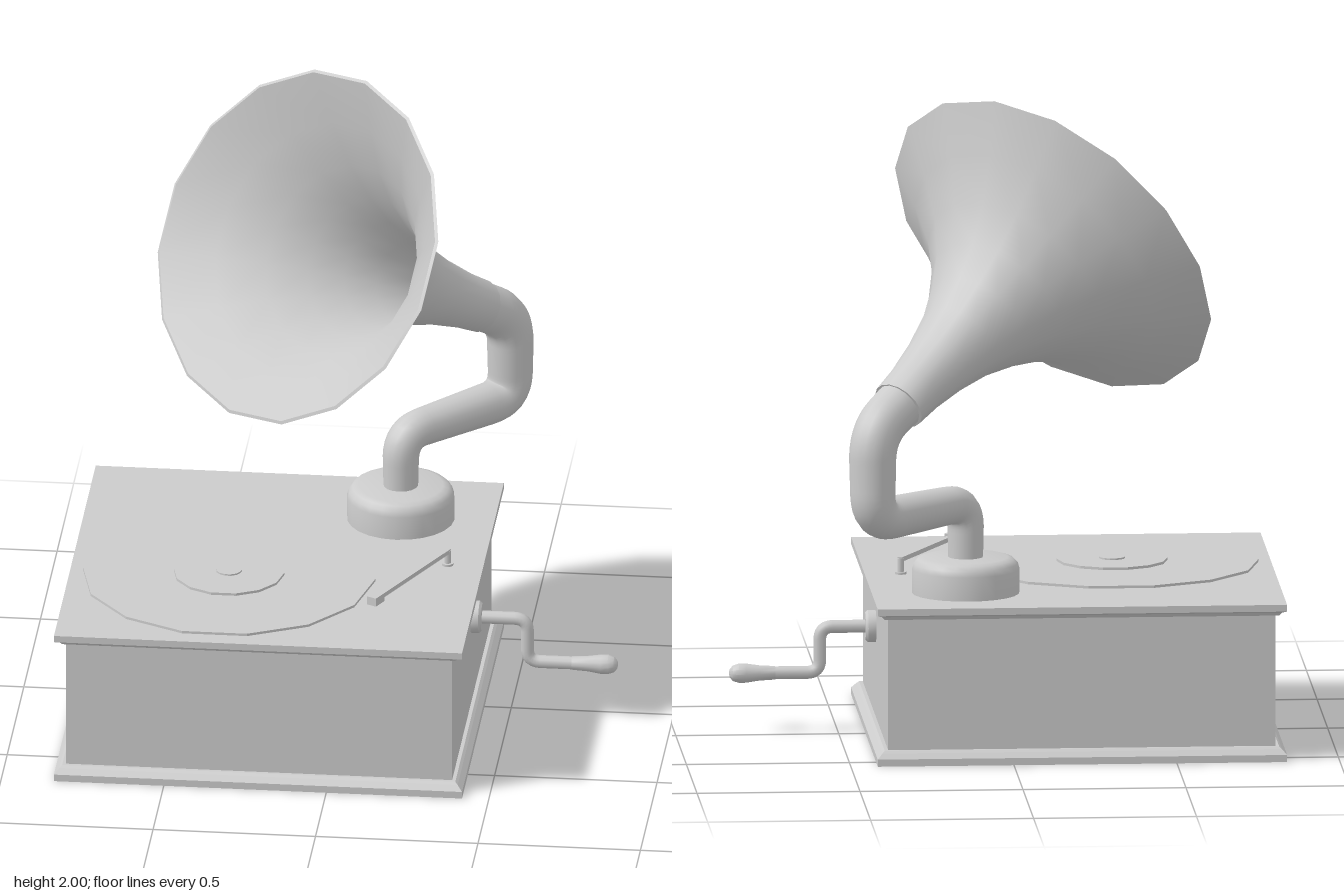
import * as THREE from 'three';
import { toCreasedNormals } from 'three/addons/utils/BufferGeometryUtils.js';

const V = (x, y, z) => new THREE.Vector3(x, y, z);
const smooth = new THREE.MeshStandardMaterial({ color: 0xcccccc, side: THREE.DoubleSide });
const flat = new THREE.MeshStandardMaterial({ color: 0xcccccc, flatShading: true });

function add(parent, name, geometry, material = smooth, x = 0, y = 0, z = 0) {
  const mesh = new THREE.Mesh(geometry, material);
  mesh.name = name;
  mesh.position.set(x, y, z);
  parent.add(mesh);
  return mesh;
}

// Lathe from [radius, height] pairs, with sharp edges kept
function turned(profile, sides, crease = 0.6) {
  const points = profile.map(([r, y]) => new THREE.Vector2(r, y));
  return toCreasedNormals(new THREE.LatheGeometry(points, sides), crease);
}

// Straight runs joined by rounded corners
function bentPath(points, bend) {
  const path = new THREE.CurvePath();
  let from = points[0];
  for (let i = 1; i < points.length - 1; i++) {
    const p = points[i];
    const a = p.clone().add(points[i - 1].clone().sub(p).setLength(bend));
    const b = p.clone().add(points[i + 1].clone().sub(p).setLength(bend));
    path.add(new THREE.LineCurve3(from, a));
    path.add(new THREE.QuadraticBezierCurve3(a, p, b));
    from = b;
  }
  path.add(new THREE.LineCurve3(from, points[points.length - 1]));
  return path;
}

// Tube whose radius changes evenly from r0 to r1
function taperedTube(path, steps, r0, r1, sides) {
  const g = new THREE.TubeGeometry(path, steps, 1, sides);
  const pos = g.attributes.position;
  const v = V(0, 0, 0);
  for (let i = 0; i <= steps; i++) {
    const c = path.getPointAt(i / steps);
    const r = r0 + (r1 - r0) * i / steps;
    for (let j = 0; j <= sides; j++) {
      const k = i * (sides + 1) + j;
      v.fromBufferAttribute(pos, k).sub(c).multiplyScalar(r).add(c);
      pos.setXYZ(k, v.x, v.y, v.z);
    }
  }
  return g;
}

export function createModel() {
  const model = new THREE.Group();
  model.name = 'gramophone';

  // Square cabinet with moulded plinth and lid: a four-sided lathe
  const q = Math.SQRT2;
  const cabinetProfile = [
    [0, 0], [0.628, 0], [0.628, 0.022], [0.613, 0.038], [0.605, 0.045], [0.594, 0.045],
    [0.594, 0.452], [0.605, 0.452], [0.613, 0.462], [0.628, 0.468], [0.628, 0.489], [0, 0.489],
  ].map(([r, y]) => new THREE.Vector2(r * q, y));
  add(model, 'cabinet', new THREE.LatheGeometry(cabinetProfile, 4, Math.PI / 4), flat, -0.21, 0, 0.05);

  // Record, label and spindle
  const table = new THREE.Group();
  table.name = 'turntable';
  table.position.set(-0.35, 0.487, 0.18);
  table.rotation.y = Math.PI / 2;
  model.add(table);
  [['record', 0.45, 0.010], ['label', 0.17, 0.018], ['spindle', 0.04, 0.023]].forEach(([name, r, h]) =>
    add(table, name, new THREE.CylinderGeometry(r, r, h, 14), flat, 0, h / 2, 0));

  // Round foot of the horn pipe
  add(model, 'pipeBase', turned([
    [0, 0], [0.165, 0], [0.165, 0.075], [0.16, 0.093], [0.148, 0.106], [0.13, 0.112], [0, 0.112],
  ], 24), smooth, 0.13, 0.488, -0.295);

  // Horn axis, from the throat towards the mouth
  const axis = V(-0.615, 0.493, 0.615).normalize();
  const mouth = V(-0.157, 1.518, -0.008);
  const along = t => mouth.clone().addScaledVector(axis, -t);

  // Swan-neck pipe widening towards the horn
  const neck = bentPath([
    V(0.13, 0.58, -0.295), V(0.13, 0.77, -0.295), V(0.435, 0.77, -0.61),
    along(0.963), along(0.8),
  ], 0.085);
  add(model, 'pipe', taperedTube(neck, 60, 0.053, 0.078, 16));

  // Flared horn: outer skin, rim, then inner skin
  const flare = [
    [0.085, 0.825], [0.09, 0.74], [0.108, 0.62], [0.138, 0.5], [0.18, 0.4],
    [0.237, 0.3], [0.32, 0.2], [0.436, 0.1], [0.575, 0],
  ];
  const inner = flare.map(([r, t]) => [r - 0.01, 0.004 - t]).reverse();
  const horn = add(model, 'horn', turned(
    [[0.072, -0.825], ...flare.map(([r, t]) => [r, -t]), ...inner], 16, 0.9));
  const across = V(1, 0, 1).normalize();
  horn.quaternion.setFromRotationMatrix(
    new THREE.Matrix4().makeBasis(across, axis, across.clone().cross(axis)));
  horn.position.copy(mouth);
  horn.scale.set(1.04, 1, 0.96);

  // Winding crank on the side
  const crank = new THREE.Group();
  crank.name = 'crank';
  crank.position.set(0, 0.325, 0.05);
  model.add(crank);
  add(crank, 'crankFlange', turned([
    [0, 0], [0.05, 0], [0.05, 0.028], [0.042, 0.036], [0, 0.036],
  ], 16), smooth, 0.38).rotation.z = -Math.PI / 2;
  const rod = bentPath([V(0.4, 0, 0), V(0.555, 0, 0), V(0.555, -0.142, 0), V(0.71, -0.142, 0)], 0.04);
  add(crank, 'crankRod', new THREE.TubeGeometry(rod, 40, 0.02, 10));
  add(crank, 'crankHandle', turned([
    [0, 0], [0.021, 0], [0.024, 0.05], [0.03, 0.09], [0.03, 0.112], [0.024, 0.13], [0.012, 0.14], [0, 0.142],
  ], 12), smooth, 0.692, -0.142).rotation.z = -Math.PI / 2;

  // Tone arm reaching over the record
  const pivot = V(0.308, 0.535, 0.035);
  const tip = V(0.125, 0.537, 0.405);
  const arm = new THREE.Group();
  arm.name = 'toneArm';
  arm.position.copy(pivot);
  arm.rotation.y = Math.atan2(tip.x - pivot.x, tip.z - pivot.z);
  model.add(arm);
  const reach = Math.hypot(tip.x - pivot.x, tip.z - pivot.z);
  add(arm, 'armPost', new THREE.CylinderGeometry(0.01, 0.01, 0.05, 10), smooth, 0, -0.022, 0);
  add(arm, 'armFoot', new THREE.CylinderGeometry(0.018, 0.018, 0.008, 12), smooth, 0, -0.043, 0);
  add(arm, 'armBar', new THREE.BoxGeometry(0.016, 0.014, reach), flat, 0, 0, reach / 2 - 0.005);
  add(arm, 'armHead', new THREE.BoxGeometry(0.032, 0.027, 0.05), flat, 0, 0, reach);

  return model;
}
